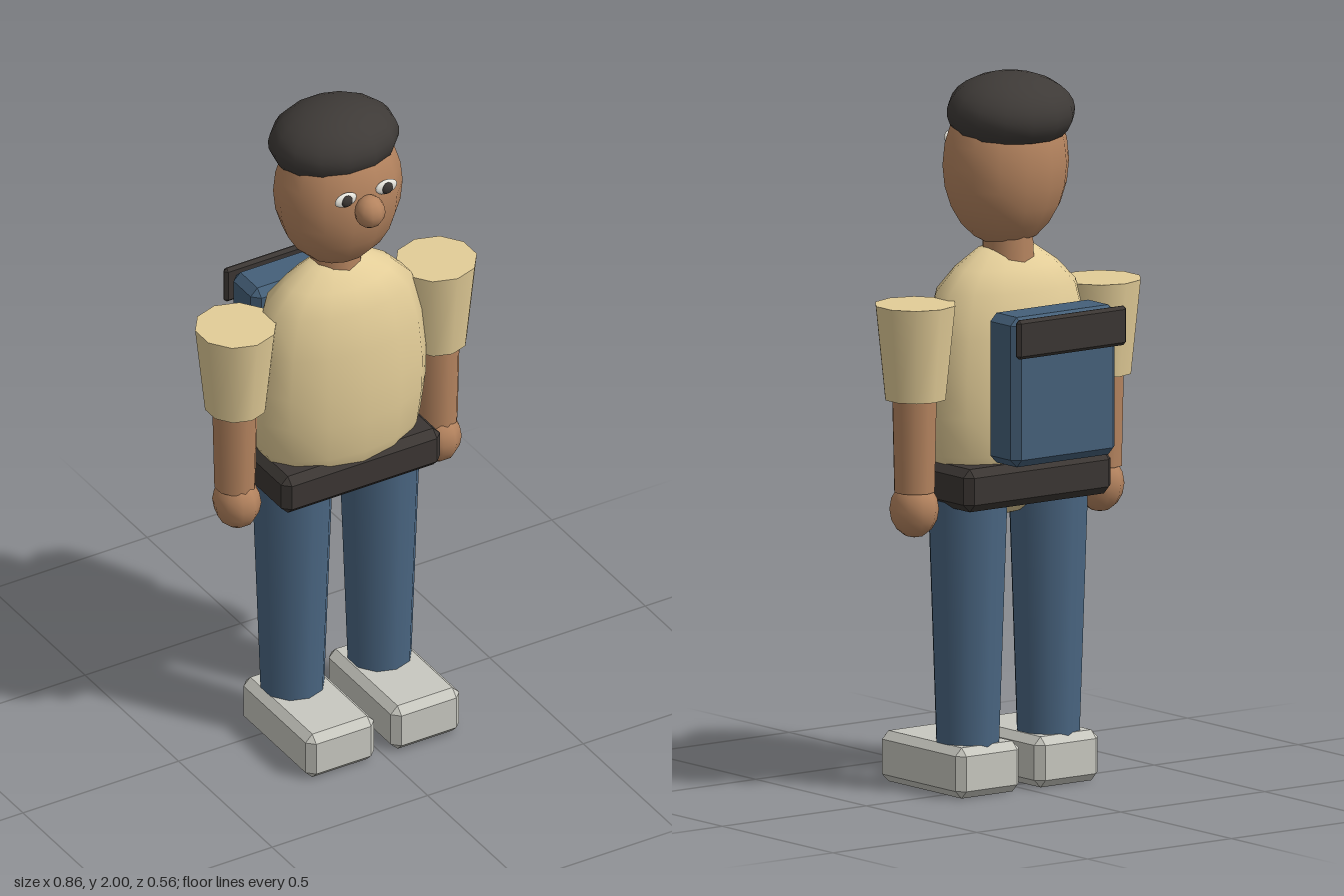
import * as THREE from 'three';
import { ConvexGeometry } from 'three/addons/geometries/ConvexGeometry.js';

const mat = (color) => new THREE.MeshStandardMaterial({ color });
const skin = mat(0xb5845f), shirt = mat(0xe3cd98), denim = mat(0x4a6682), canvas = mat(0x456079);
const leather = mat(0x3b3633), hair = mat(0x3e3a37), shoeGrey = mat(0xc8c8c0), white = mat(0xe8e6de);
hair.side = THREE.DoubleSide;

// Box with every edge cut at 45 degrees
function chamferBox(w, h, d, b) {
  const points = [], x = w / 2, y = h / 2, z = d / 2;
  for (const i of [-1, 1]) for (const j of [-1, 1]) for (const k of [-1, 1]) {
    points.push(
      new THREE.Vector3(i * x, j * (y - b), k * (z - b)),
      new THREE.Vector3(i * (x - b), j * y, k * (z - b)),
      new THREE.Vector3(i * (x - b), j * (y - b), k * z));
  }
  return new ConvexGeometry(points);
}

const ellipsoid = (rx, ry, rz, w = 12, h = 10) => new THREE.SphereGeometry(1, w, h).scale(rx, ry, rz);

export function createModel() {
  const model = new THREE.Group();
  model.name = 'figure';
  const add = (name, geometry, material, x, y, z) => {
    const mesh = new THREE.Mesh(geometry, material);
    mesh.name = name;
    mesh.position.set(x, y, z);
    model.add(mesh);
    return mesh;
  };

  // Torso: flattened barrel with sloping shoulders
  const profile = [[0, 0.76], [0.05, 0.77], [0.13, 0.81], [0.21, 0.87], [0.252, 0.95], [0.268, 1.06],
    [0.27, 1.16], [0.258, 1.28], [0.225, 1.4], [0.165, 1.46], [0.09, 1.51], [0, 1.525]];
  const torso = new THREE.LatheGeometry(profile.map(([r, y]) => new THREE.Vector2(r, y)), 14);
  add('torso', torso.scale(1, 1, 0.6), shirt, 0, 0, 0.02);
  add('belt', chamferBox(0.51, 0.12, 0.305, 0.022), leather, 0, 0.87, 0.01);

  // Head
  add('neck', new THREE.CylinderGeometry(0.07, 0.075, 0.12, 10), skin, 0, 1.53, 0.01);
  add('head', ellipsoid(0.185, 0.235, 0.16, 14, 12), skin, 0, 1.745, 0.02);
  add('nose', ellipsoid(0.044, 0.048, 0.044, 10, 8), skin, 0, 1.755, 0.19);
  const cap = new THREE.SphereGeometry(1, 14, 10, 0, Math.PI * 2, 0, Math.PI * 0.68).scale(0.187, 0.108, 0.165);
  add('hair', cap, hair, 0, 1.892, -0.003).rotation.x = -0.1;

  // Paired parts
  for (const [side, s] of [['left', 1], ['right', -1]]) {
    add(side + 'Eye', ellipsoid(0.035, 0.022, 0.01), white, s * 0.065, 1.803, 0.17);
    add(side + 'Pupil', ellipsoid(0.018, 0.018, 0.01), leather, s * 0.065, 1.802, 0.176);
    add(side + 'Sleeve', new THREE.CylinderGeometry(0.115, 0.087, 0.265, 10), shirt, s * 0.322, 1.2525, 0.01);
    add(side + 'Forearm', new THREE.CylinderGeometry(0.066, 0.058, 0.36, 10), skin, s * 0.325, 1.04, 0.01);
    add(side + 'Hand', ellipsoid(0.066, 0.08, 0.073, 10, 8), skin, s * 0.322, 0.81, 0.015);
    add(side + 'Leg', new THREE.CylinderGeometry(0.115, 0.09, 0.72, 10), denim, s * 0.14, 0.49, 0.01);
    add(side + 'Shoe', chamferBox(0.22, 0.142, 0.375, 0.022), shoeGrey, s * 0.137, 0.071, 0.092);
  }

  // Backpack
  add('backpack', chamferBox(0.362, 0.42, 0.135, 0.022), canvas, 0, 1.155, -0.191);
  add('backpackFlap', chamferBox(0.38, 0.11, 0.021, 0.009), leather, 0, 1.31, -0.275);
  return model;
}
